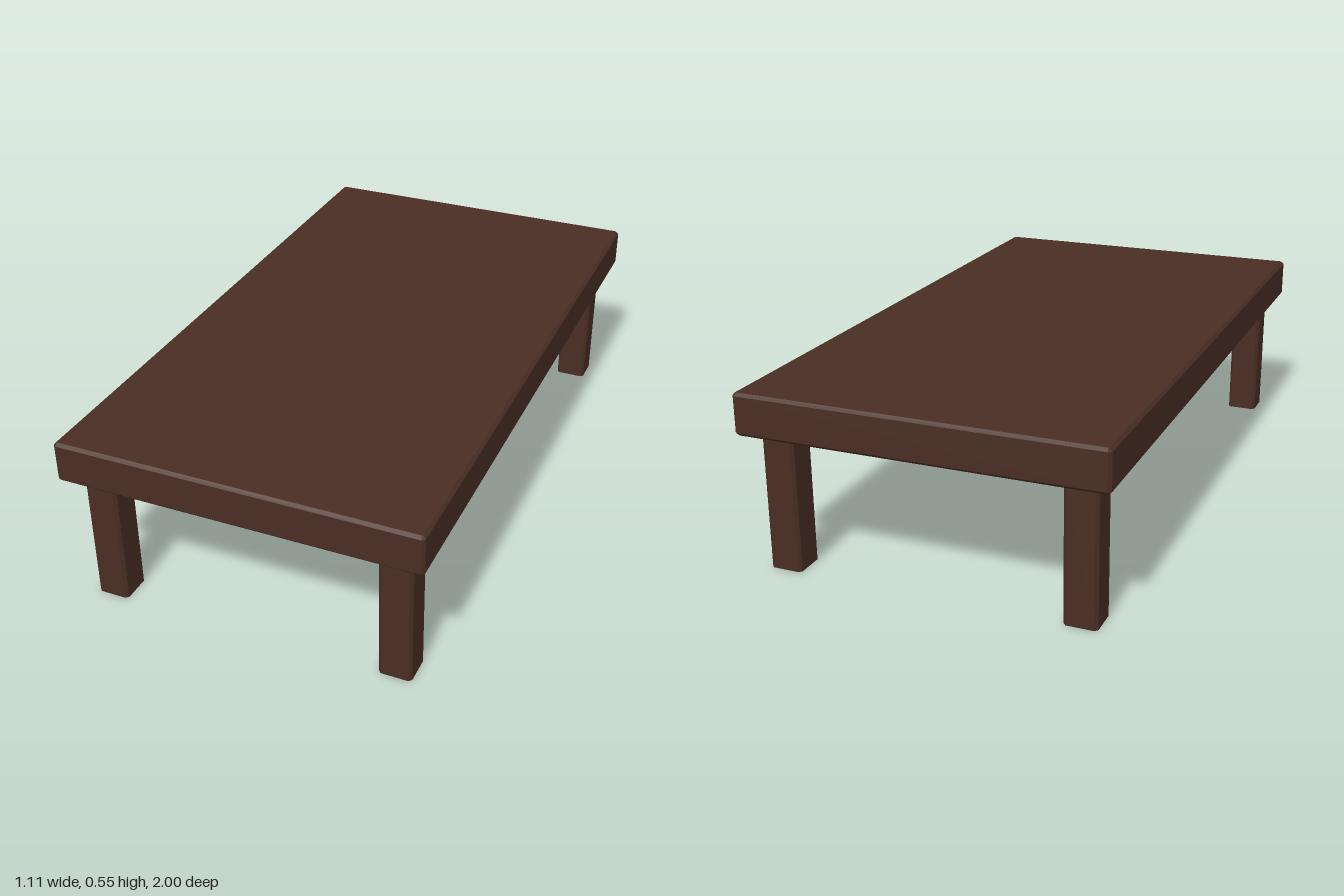
import * as THREE from 'three';

const darkWood = new THREE.MeshStandardMaterial({ color: 0x4a2e24 });
darkWood.name = 'dark wood';

// Upright block with chamfered vertical edges; rim also chamfers the top and bottom edges
function chamferedBlock(name, width, depth, y0, y1, cut, rim = 0) {
  const w = width / 2, d = depth / 2;
  const outline = new THREE.Shape([
    [w - cut, -d], [w, -d + cut], [w, d - cut], [w - cut, d],
    [-w + cut, d], [-w, d - cut], [-w, -d + cut], [-w + cut, -d],
  ].map(([x, y]) => new THREE.Vector2(x, y)));
  const geometry = new THREE.ExtrudeGeometry(outline, {
    depth: y1 - y0 - 2 * rim,
    bevelEnabled: rim > 0,
    bevelThickness: rim,
    bevelSize: rim,
    bevelOffset: -rim,
    bevelSegments: 1,
  });
  geometry.rotateX(-Math.PI / 2);
  geometry.translate(0, y0 + rim, 0);
  const mesh = new THREE.Mesh(geometry, darkWood);
  mesh.name = name;
  return mesh;
}

export function createModel() {
  const table = new THREE.Group();
  table.name = 'lowTable';

  // Thick slab top
  table.add(chamferedBlock('tableTop', 1.11, 2, 0.425, 0.553, 0.009, 0.009));

  // Four square legs, set in from the corners
  for (const [side, sx] of [['Left', 1], ['Right', -1]]) {
    for (const [end, sz] of [['front', 1], ['back', -1]]) {
      const leg = chamferedBlock(`${end}${side}Leg`, 0.1, 0.1, 0, 0.43, 0.009);
      leg.position.set(sx * 0.455, 0, sz * 0.895);
      table.add(leg);
    }
  }
  return table;
}
